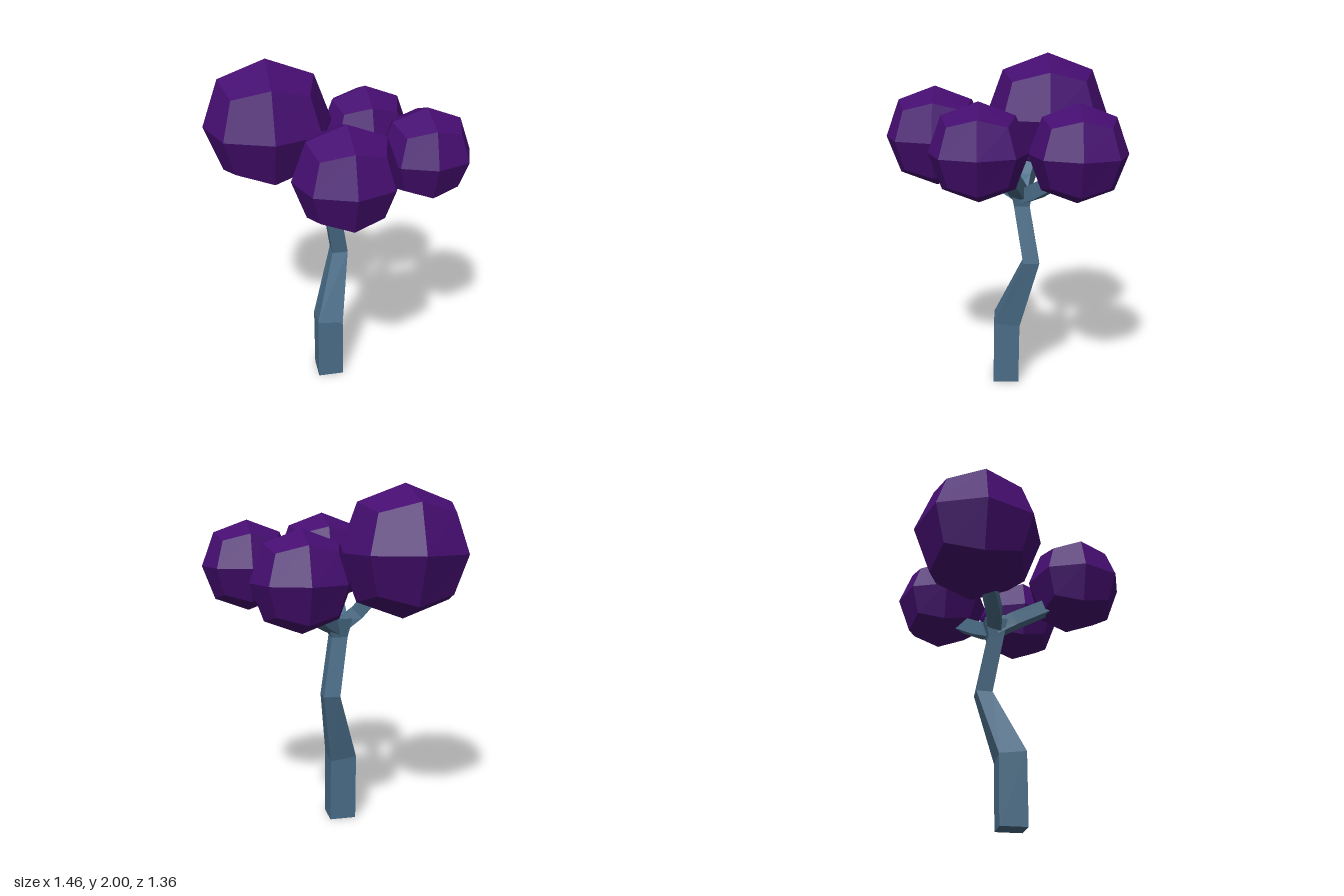
import * as THREE from 'three';

// Skin a list of four-cornered rings, with flat caps at both ends
function loft(rings) {
  const pos = [];
  const quad = (a, b, c, d) => [a, b, c, a, c, d].forEach((p) => pos.push(p.x, p.y, p.z));
  for (let k = 0; k < rings.length - 1; k++) {
    const a = rings[k], b = rings[k + 1];
    for (let i = 0; i < 4; i++) {
      const j = (i + 1) % 4;
      quad(a[i], a[j], b[j], b[i]);
    }
  }
  const s = rings[0], e = rings[rings.length - 1];
  quad(s[3], s[2], s[1], s[0]);
  quad(e[0], e[1], e[2], e[3]);
  const g = new THREE.BufferGeometry();
  g.setAttribute('position', new THREE.Float32BufferAttribute(pos, 3));
  g.computeVertexNormals();
  return g;
}

// Square ring around centre c, spanned by half-axes u and v
function ring(c, u, v) {
  return [[1, 1], [1, -1], [-1, -1], [-1, 1]].map(([a, b]) =>
    c.clone().addScaledVector(u, a).addScaledVector(v, b));
}

// Square limb along a bent path, each point is [x, y, z, halfWidth]
function limb(points) {
  const p = points.map((q) => new THREE.Vector3(q[0], q[1], q[2]));
  return loft(p.map((c, i) => {
    const d = p[Math.min(i + 1, p.length - 1)].clone().sub(p[Math.max(i - 1, 0)]).normalize();
    const side = new THREE.Vector3().crossVectors(d, new THREE.Vector3(0, 1, 0)).normalize();
    const up = new THREE.Vector3().crossVectors(side, d);
    const h = points[i][3];
    return ring(c, side.multiplyScalar(h), up.multiplyScalar(h));
  }));
}

// Faceted leaf ball: a 2x2x2 cube rounded towards a sphere
function leafBall(r) {
  const g = new THREE.BoxGeometry(2, 2, 2, 2, 2, 2).toNonIndexed();
  const pos = g.attributes.position;
  const scale = [0, 1, 0.73, 0.578];
  for (let i = 0; i < pos.count; i++) {
    const v = new THREE.Vector3().fromBufferAttribute(pos, i).round();
    v.multiplyScalar(r * scale[Math.abs(v.x) + Math.abs(v.y) + Math.abs(v.z)]);
    pos.setXYZ(i, v.x, v.y, v.z);
  }
  g.computeVertexNormals();
  return g;
}

export function createModel() {
  const tree = new THREE.Group();
  tree.name = 'tree';
  const bark = new THREE.MeshStandardMaterial({ color: 0x4a6d88, flatShading: true });
  bark.name = 'blue bark';
  const leaf = new THREE.MeshStandardMaterial({ color: 0x450d70, flatShading: true });
  leaf.name = 'purple leaves';

  const add = (geometry, material, name) => {
    const m = new THREE.Mesh(geometry, material);
    m.name = name;
    tree.add(m);
    return m;
  };

  // Crooked trunk flaring into the fork: [x, y, z, halfWidth, tilt in x, tilt in z]
  const trunk = [
    [-0.057, 0, -0.013, 0.078, 0, 0],
    [-0.058, 0.395, -0.018, 0.078, -0.01, 0.01],
    [0.038, 0.805, -0.162, 0.048, 0, 0],
    [-0.02, 1.14, -0.105, 0.046, 0, 0],
    [-0.02, 1.25, -0.108, 0.068, 0, 0],
  ];
  add(loft(trunk.map(([x, y, z, h, tx, tz]) => ring(
    new THREE.Vector3(x, y, z),
    new THREE.Vector3(h, tx, 0),
    new THREE.Vector3(0, tz, h)))), bark, 'trunk');

  // Branches from the fork into each leaf ball
  const branches = {
    rightBranch: [[-0.02, 1.19, -0.105, 0.04], [-0.13, 1.28, -0.13, 0.043], [-0.27, 1.47, -0.21, 0.04]],
    frontBranch: [[-0.03, 1.19, -0.11, 0.04], [-0.043, 1.26, 0.0, 0.043], [-0.038, 1.40, 0.25, 0.04]],
    leftBranch: [[-0.01, 1.2, -0.1, 0.04], [0.06, 1.26, -0.07, 0.042], [0.25, 1.42, 0.008, 0.038], [0.4, 1.5, 0.08, 0.036]],
    backBranch: [[-0.01, 1.19, -0.11, 0.04], [0.07, 1.24, -0.185, 0.043], [0.22, 1.36, -0.34, 0.04]],
  };
  for (const [name, path] of Object.entries(branches)) add(limb(path), bark, name);

  // Leaf balls: [name, x, y, z, radius]
  const balls = [
    ['rightLeaves', -0.358, 1.628, -0.266, 0.373],
    ['frontLeaves', -0.033, 1.546, 0.391, 0.287],
    ['leftLeaves', 0.467, 1.537, 0.13, 0.262],
    ['backLeaves', 0.247, 1.491, -0.407, 0.276],
  ];
  for (const [name, x, y, z, r] of balls) add(leafBall(r), leaf, name).position.set(x, y, z);

  return tree;
}
